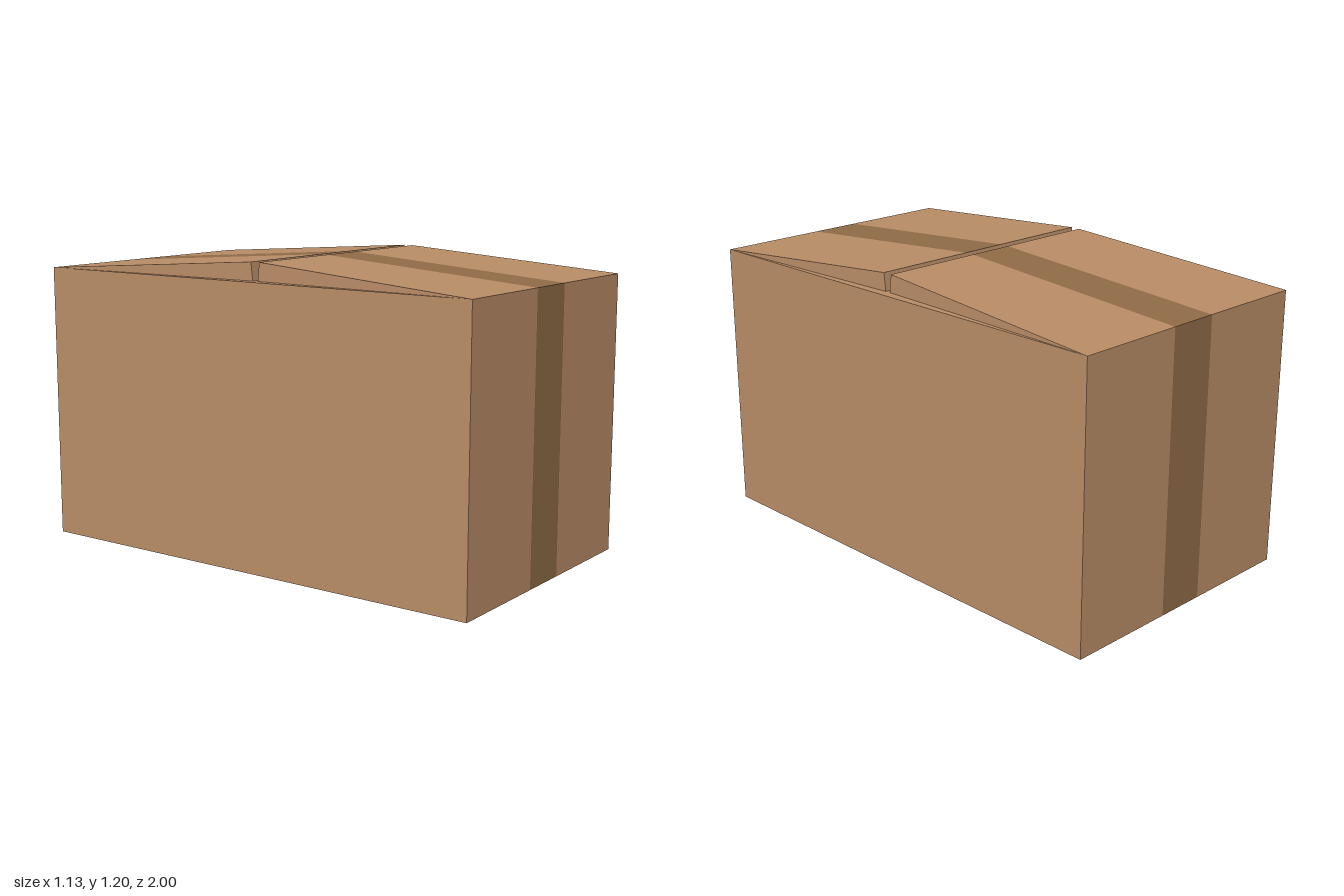
import * as THREE from 'three';

const W = 0.563;       // half width of the box
const H = 1.128;       // wall height
const PEAK = 1.2;      // height of the raised flap edges
const INNER = 0.523;   // half width of the flaps at the seam
const TAPE = 0.186;    // tape width as a fraction of the panel width

export function createModel() {
  const cardboard = new THREE.MeshStandardMaterial({ color: 0xb88c66 });
  const tape = new THREE.MeshStandardMaterial({ color: 0x8f6b47 });
  cardboard.name = 'cardboard';
  tape.name = 'packing tape';

  const model = new THREE.Group();
  model.name = 'cardboardBox';

  function addFaces(parent, name, triangles, material) {
    const geometry = new THREE.BufferGeometry();
    geometry.setAttribute('position', new THREE.Float32BufferAttribute(triangles.flat(), 3));
    geometry.computeVertexNormals();
    const mesh = new THREE.Mesh(geometry, material);
    mesh.name = name;
    parent.add(mesh);
    return geometry;
  }

  // Panel spanning x between two edges [z, y, halfWidth], with an optional tape strip
  function addPanel(parent, name, a, b, taped) {
    const cuts = taped ? [-1, -TAPE, TAPE, 1] : [-1, 1];
    const point = ([z, y, w], u) => [u * w, y, z];
    const triangles = [];
    for (let i = 0; i < cuts.length - 1; i++) {
      const [l, r] = [cuts[i], cuts[i + 1]];
      triangles.push(point(a, l), point(a, r), point(b, r), point(a, l), point(b, r), point(b, l));
    }
    const geometry = addFaces(parent, name, triangles, taped ? [cardboard, tape] : cardboard);
    if (taped) [0, 1, 0].forEach((m, i) => geometry.addGroup(i * 6, 6, m));
  }

  // Walls, floor and the closed inner top under the flaps
  const body = new THREE.Group();
  body.name = 'body';
  model.add(body);
  addPanel(body, 'frontWall', [1, 0, W], [1, H, W], true);
  addPanel(body, 'backWall', [-1, H, W], [-1, 0, W], true);
  addPanel(body, 'floor', [-1, 0, W], [1, 0, W], true);
  addPanel(body, 'innerTop', [1, H, W], [-1, H, W], false);
  for (const s of [1, -1]) {
    const p = (y, z) => [s * W, y, s * z];
    addFaces(body, s > 0 ? 'leftWall' : 'rightWall',
      [p(0, 1), p(0, -1), p(H, -1), p(0, 1), p(H, -1), p(H, 1)], cardboard);
  }

  // Two raised flaps that narrow towards the open seam
  const flaps = [
    { name: 'frontFlap', dir: 1, topZ: 0.058, footZ: 0.05 },
    { name: 'backFlap', dir: -1, topZ: 0.018, footZ: 0.026 },
  ];
  for (const { name, dir, topZ, footZ } of flaps) {
    const flap = new THREE.Group();
    flap.name = name;
    model.add(flap);
    const hinge = [dir, H, W], lip = [topZ, PEAK, INNER], foot = [footZ, H, INNER];
    const along = (a, b) => (dir > 0 ? [a, b] : [b, a]);
    addPanel(flap, name + 'Top', ...along(hinge, lip), true);
    addPanel(flap, name + 'SeamEdge', ...along(lip, foot), false);
    for (const s of [1, -1]) {
      const p = ([z, y, w]) => [s * w, y, z];
      const corners = [p(hinge), p(foot), p(lip)];
      if (s * dir < 0) corners.reverse();
      addFaces(flap, name + (s > 0 ? 'LeftSide' : 'RightSide'), corners, cardboard);
    }
  }
  return model;
}
